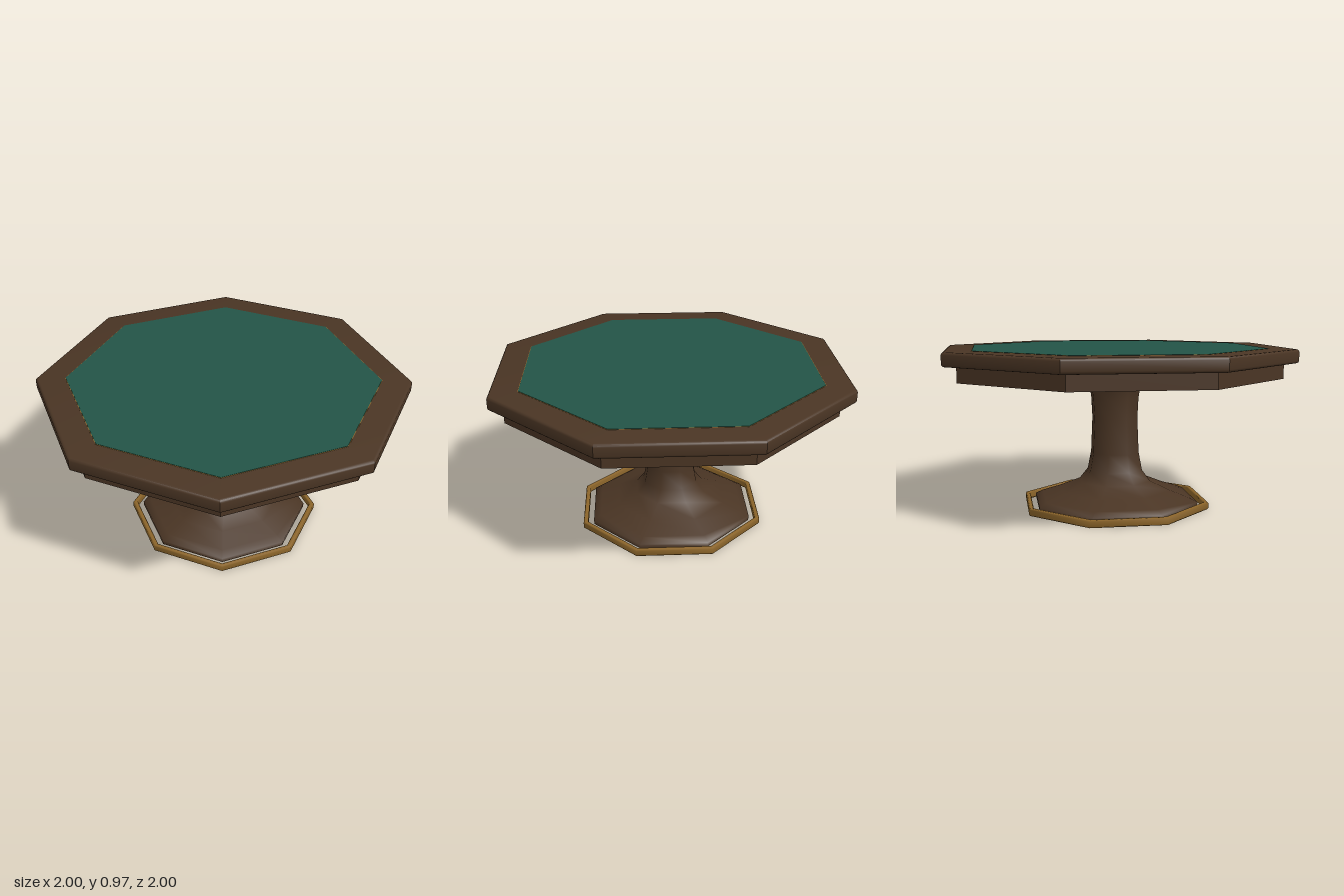
import * as THREE from 'three';
import { toCreasedNormals } from 'three/addons/utils/BufferGeometryUtils.js';

const SIDES = 8;
const CORNER = 1 / Math.cos(Math.PI / SIDES);

// Octagonal turning: profile is [distance to flat side, height] pairs
function octagon(profile, crease) {
  const pts = profile.map(([r, y]) => new THREE.Vector2(r * CORNER, y));
  const geo = new THREE.LatheGeometry(pts, SIDES, Math.PI / SIDES);
  return crease ? toCreasedNormals(geo, crease) : geo;
}

export function createModel() {
  const table = new THREE.Group();
  table.name = 'octagonalTable';

  const material = (name, color) => {
    const m = new THREE.MeshStandardMaterial({ color });
    m.name = name;
    return m;
  };
  const wood = material('dark wood', 0x4a3524);
  const brass = material('brass', 0x8c652a);
  const felt = material('green felt', 0x235447);
  const base = material('dark underside', 0x220808);

  const add = (name, geo, mat) => {
    const mesh = new THREE.Mesh(geo, mat);
    mesh.name = name;
    table.add(mesh);
  };

  // Table top with rounded edges
  const lo = 0.885, hi = 0.965, r = 0.016;
  const edge = [[0, lo]];
  for (let i = 0; i <= 3; i++) {
    const a = (i / 3) * Math.PI / 2;
    edge.push([1 - r + r * Math.sin(a), lo + r - r * Math.cos(a)]);
  }
  for (let i = 0; i <= 3; i++) {
    const a = (i / 3) * Math.PI / 2;
    edge.push([1 - r + r * Math.cos(a), hi - r + r * Math.sin(a)]);
  }
  edge.push([0, hi]);
  add('tableTop', octagon(edge, 0.6), wood);

  // Playing surface with a thin brass inlay around it
  const plate = (a, y0, y1) => octagon([[0, y0], [a, y0], [a, y1], [0, y1]], 0.6);
  add('inlay', plate(0.842, 0.964, 0.966), brass);
  add('feltSurface', plate(0.839, 0.964, 0.968), felt);

  // Hollow apron below the top
  add('apron', octagon([
    [0.89, 0.89], [0.89, 0.795], [0.922, 0.795], [0.922, 0.89],
  ], 0.6), wood);

  // Pedestal column, flaring to the foot and the neck
  add('pedestal', octagon([
    [0.472, 0.012], [0.474, 0.04], [0.43, 0.063], [0.32, 0.103], [0.205, 0.155],
    [0.158, 0.22], [0.138, 0.33], [0.13, 0.54], [0.136, 0.66], [0.146, 0.73],
    [0.158, 0.76],
  ]), wood);
  add('pedestalUnderside', octagon([[0, 0.012], [0.472, 0.012]]), base);

  // Capital between the collar and the top
  add('capital', octagon([
    [0.15, 0.755], [0.158, 0.775], [0.18, 0.8], [0.22, 0.835], [0.24, 0.86], [0.24, 0.886],
  ]), wood);

  // Brass collar round the neck
  const ringProfile = (mid, y, half, tall) => {
    const pts = [];
    for (let i = 0; i <= 8; i++) {
      const a = (i / 8) * Math.PI * 2 - Math.PI / 2;
      pts.push([mid + half * Math.cos(a), y + tall * Math.sin(a)]);
    }
    return pts;
  };
  add('collar', octagon(ringProfile(0.158, 0.762, 0.014, 0.012)), brass);

  // Brass foot rail, standing slightly clear of the base
  add('footRail', octagon([
    [0.508, 0.006], [0.514, 0], [0.53, 0], [0.536, 0.007], [0.536, 0.037],
    [0.53, 0.044], [0.514, 0.044], [0.508, 0.038], [0.508, 0.006],
  ]), brass);

  return table;
}
